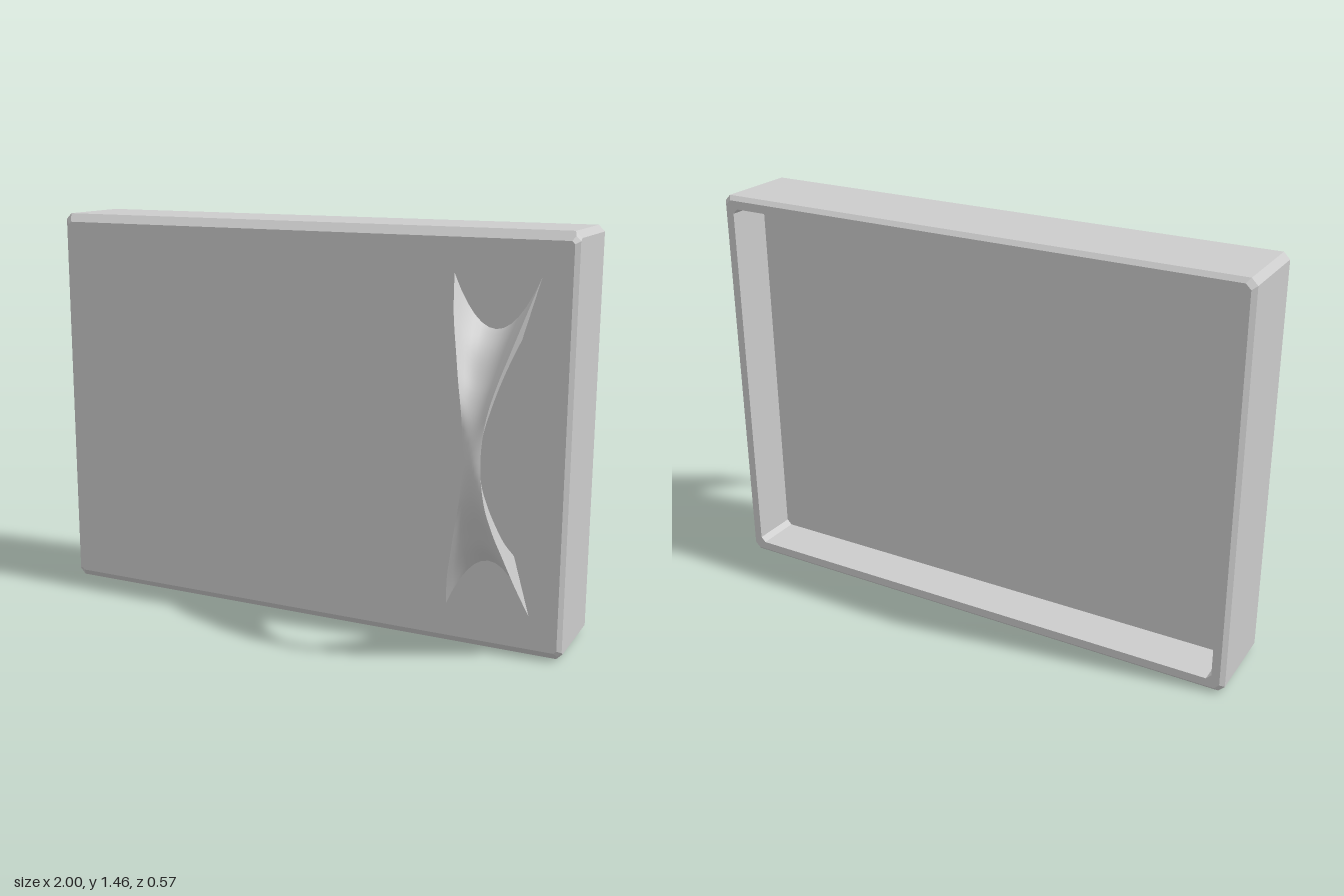
import * as THREE from 'three';
import { mergeGeometries } from 'three/addons/utils/BufferGeometryUtils.js';

const HEIGHT = 1.455;

// Skins a list of rows (each a list of Vector3) into an indexed surface.
function loft(rows) {
  const n = rows[0].length;
  const index = [];
  for (let i = 0; i < rows.length - 1; i++) {
    for (let j = 0; j < n - 1; j++) {
      const a = i * n + j, b = a + n;
      index.push(a, b, a + 1, b, b + 1, a + 1);
    }
  }
  const geometry = new THREE.BufferGeometry().setFromPoints(rows.flat());
  geometry.setIndex(index);
  geometry.computeVertexNormals();
  return geometry;
}

// Closed rectangle with cut corners at depth z.
function cutRect(left, right, bottom, top, cut, z) {
  const points = [
    [right, bottom + cut], [right, top - cut], [right - cut, top], [left + cut, top],
    [left, top - cut], [left, bottom + cut], [left + cut, bottom], [right - cut, bottom],
    [right, bottom + cut],
  ];
  return points.map(([x, y]) => new THREE.Vector3(x, y, z));
}

// Chamfered panel with a recessed back, as rings from front centre to recess centre.
function panelGeometry() {
  const inset = (d, cut, z) => cutRect(-1 + d, 1 - d, d, HEIGHT - d, cut, z);
  const mid = HEIGHT / 2;
  const geometry = loft([
    cutRect(0, 0, mid, mid, 0, 0.06),
    cutRect(-0.97, 0.985, 0.03, HEIGHT - 0.03, 0.01, 0.06),
    cutRect(-0.985, 1, 0.015, HEIGHT - 0.015, 0.016, 0.045),
    inset(0, 0.022, 0.03),
    inset(0, 0.022, -0.267),
    inset(0.015, 0.018, -0.283),
    inset(0.045, 0.018, -0.283),
    inset(0.045, 0.018, -0.115),
    cutRect(0, 0, mid, mid, 0, -0.115),
  ]).toNonIndexed();
  geometry.computeVertexNormals();
  return geometry;
}

// Guide curve from [half width, y, z] points, mirrored about the panel's mid height.
function guide(points) {
  const upper = points.map((p) => new THREE.Vector3(...p));
  const lower = upper.slice(0, -1).reverse().map((p) => new THREE.Vector3(p.x, HEIGHT - p.y, p.z));
  return new THREE.CatmullRomCurve3([...upper, ...lower]);
}

// Arched grip: a crescent section with flared horns, slim at mid height.
function handleGeometry() {
  const mid = HEIGHT / 2;
  const edge = guide([[0.15, 1.31, 0.058], [0.12, 1.18, 0.14], [0.088, 1.06, 0.196],
    [0.066, 0.977, 0.233], [0.042, 0.87, 0.262], [0.03, mid, 0.272]]);
  const crest = guide([[0, 1.13, 0.058], [0, 1.06, 0.132], [0, 0.98, 0.188],
    [0, 0.915, 0.23], [0, 0.84, 0.264], [0, mid, 0.284]]);
  const bend = guide([[0.09, 1.10, 0.058], [0.075, 1.03, 0.136], [0.056, 0.955, 0.183],
    [0.042, 0.885, 0.222], [0.028, 0.81, 0.247], [0.022, mid, 0.253]]);
  const under = guide([[0, 1.03, 0.058], [0, 0.957, 0.14], [0, 0.907, 0.177],
    [0, 0.834, 0.222], [0, 0.775, 0.246], [0, mid, 0.25]]);

  const flip = (p) => new THREE.Vector3(-p.x, p.y, p.z);
  const front = [], leftFlank = [], rightFlank = [], back = [];
  const steps = 40, across = 12;
  for (let i = 0; i <= steps; i++) {
    const [e, c, b, u] = [edge, crest, bend, under].map((g) => g.getPoint(i / steps));
    const row = [];
    for (let j = 0; j <= across; j++) {
      const s = (2 * j) / across - 1;
      const p = c.clone().lerp(e, s * s);
      p.x = s * e.x;
      row.push(p);
    }
    front.push(row);
    leftFlank.push([e, b]);
    rightFlank.push([flip(b), flip(e)]);
    back.push([b, u, flip(b)]);
  }
  return mergeGeometries([front, leftFlank, rightFlank, back].map(loft));
}

export function createModel() {
  const model = new THREE.Group();
  const add = (name, geometry, options) => {
    const material = new THREE.MeshStandardMaterial({ color: 0xcccccc, ...options });
    const mesh = new THREE.Mesh(geometry, material);
    mesh.name = name;
    model.add(mesh);
    return mesh;
  };

  add('panel', panelGeometry(), { flatShading: true });
  add('handle', handleGeometry(), {}).position.x = 0.735;
  return model;
}
